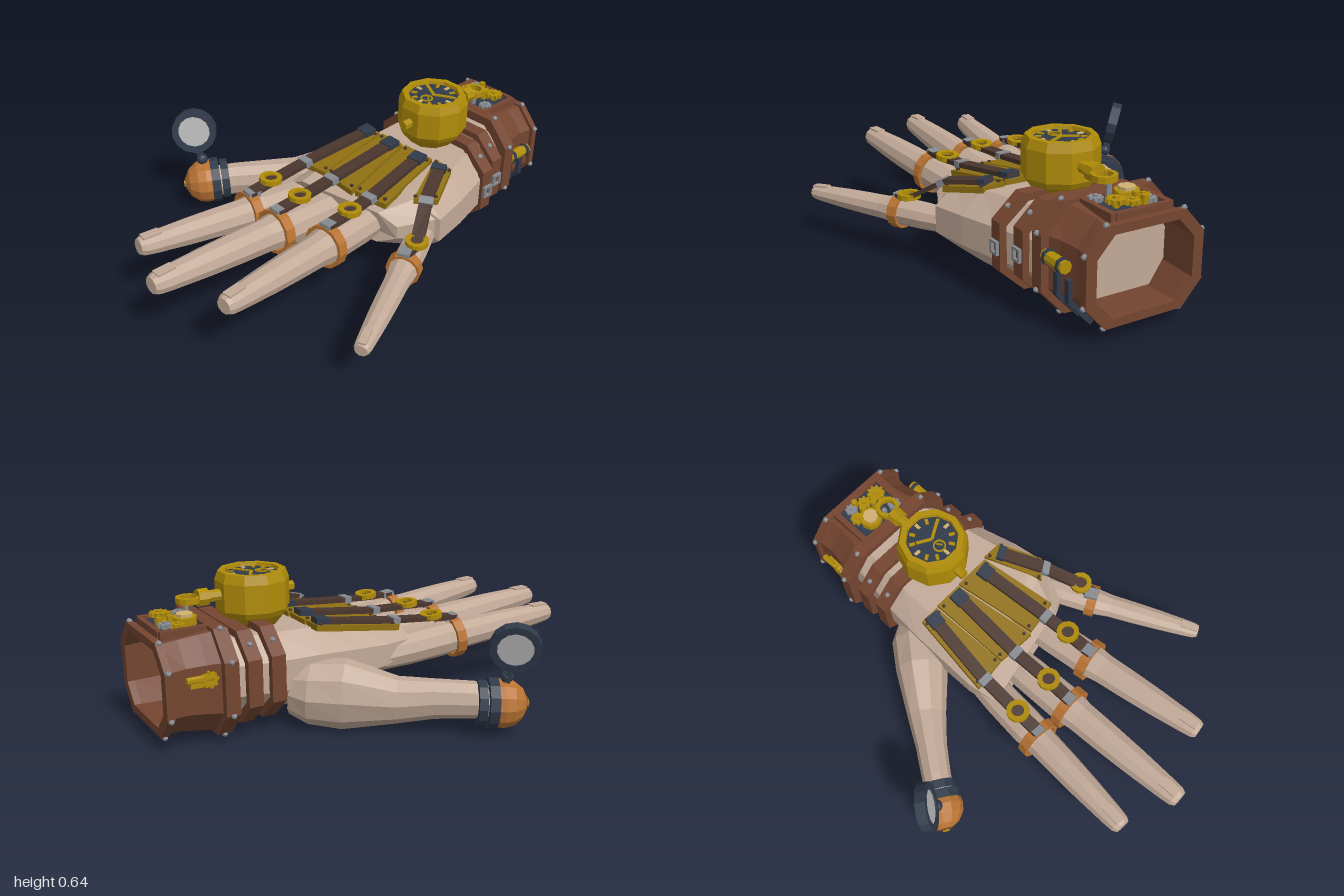
import * as THREE from 'three';

const mat = (name, color) => new THREE.MeshStandardMaterial({ name, color, flatShading: true });
const V = (x, y, z) => new THREE.Vector3(x, y, z);

// Skin of quads over matching cross-sections; closed = joined end to start, otherwise capped.
function loft(sections, closed = false) {
  const pos = [], n = sections[0].length, m = sections.length;
  const tri = (...p) => p.forEach(v => pos.push(v.x, v.y, v.z));
  for (let i = 0; i < (closed ? m : m - 1); i++) for (let j = 0; j < n; j++) {
    const A = sections[i], B = sections[(i + 1) % m], k = (j + 1) % n;
    tri(A[j], A[k], B[k]);
    tri(A[j], B[k], B[j]);
  }
  if (!closed) for (let j = 1; j < n - 1; j++) {
    tri(sections[0][0], sections[0][j + 1], sections[0][j]);
    tri(sections[m - 1][0], sections[m - 1][j], sections[m - 1][j + 1]);
  }
  const g = new THREE.BufferGeometry();
  g.setAttribute('position', new THREE.Float32BufferAttribute(pos, 3));
  g.computeVertexNormals();
  return g;
}
// Limb along a path; each stop is [centre, half width, half height].
function limb(stops, sides = 10, turn = 0) {
  return loft(stops.map(([c, rx, ry], i) => {
    const a = stops[Math.max(0, i - 1)][0], b = stops[Math.min(stops.length - 1, i + 1)][0];
    const t = b.clone().sub(a).normalize(), r = V(0, 1, 0).cross(t).normalize(), u = t.clone().cross(r);
    return Array.from({ length: sides }, (_, j) => {
      const q = turn + j / sides * Math.PI * 2;
      return c.clone().addScaledVector(r, Math.cos(q) * rx).addScaledVector(u, Math.sin(q) * ry);
    });
  }));
}
const ribbon = (pts, w, h) => limb(pts.map(p => [p, w * 0.707, h * 0.707]), 4, Math.PI / 4);
// Chamfered rectangle in the xy plane.
function octagon(cx, cy, hw, hh, z, kx = 0.66, ky = 0.5) {
  return [[1, -ky], [1, ky], [kx, 1], [-kx, 1], [-1, ky], [-1, -ky], [-kx, -1], [kx, -1]]
    .map(([x, y]) => V(cx + x * hw, cy + y * hh, z));
}
const lathe = (pts, seg) => new THREE.LatheGeometry(pts.map(p => new THREE.Vector2(...p)), seg);
const ringGeo = (ri, ro, len, seg = 12) =>
  lathe([[ri, -len / 2], [ro, -len / 2], [ro, len / 2], [ri, len / 2], [ri, -len / 2]], seg);
function gearGeo(r, teeth, h) {
  const s = new THREE.Shape();
  for (let i = 0; i < teeth * 4; i++) {
    const a = i / teeth / 2 * Math.PI, q = i % 4 < 2 ? r : r * 0.78;
    s[i ? 'lineTo' : 'moveTo'](Math.cos(a) * q, Math.sin(a) * q);
  }
  s.holes.push(new THREE.Path().absarc(0, 0, r * 0.3, 0, Math.PI * 2, true));
  return new THREE.ExtrudeGeometry(s, { depth: h, bevelEnabled: false, curveSegments: 4 }).rotateX(-Math.PI / 2);
}

export function createModel() {
  const model = new THREE.Group();
  const skin = mat('skin', 0xc2a997), leather = mat('brown leather', 0x744530), strapBrown = mat('dark strap', 0x4a362e);
  const gold = mat('gold', 0xb08c08), darkGold = mat('dark gold', 0x8f7012), copper = mat('copper', 0xb87333);
  const navy = mat('dark steel', 0x303a4a), steel = mat('steel', 0x868b90), glass = mat('glass', 0xb8b8b8), ivory = mat('pale brass', 0xd0b070);

  const add = (name, geo, m, p = [0, 0, 0], rot = [0, 0, 0], parent = model) => {
    const o = new THREE.Mesh(geo, m);
    o.name = name;
    o.position.set(...p);
    o.rotation.set(...rot);
    parent.add(o);
    return o;
  };
  const box = (name, s, m, p, rot, parent) => add(name, new THREE.BoxGeometry(...s), m, p, rot, parent);
  const cyl = (name, r, h, seg, m, p, rot, parent) => add(name, new THREE.CylinderGeometry(r, r, h, seg), m, p, rot, parent);
  const aimed = (name, p, dir) => {
    const g = new THREE.Group();
    g.name = name;
    g.position.copy(p);
    g.lookAt(p.clone().add(dir));
    model.add(g);
    return g;
  };
  const H = Math.PI / 2;

  // Forearm and palm, with the knuckle end slanting back toward the little finger
  const palm = [[-0.83, -0.14, 0.29, 0.1, 0.42], [-0.7, -0.14, 0.35, 0.095, 0.415], [-0.5, -0.17, 0.41, 0.09, 0.415],
    [-0.32, -0.18, 0.46, 0.1, 0.41], [-0.15, -0.18, 0.49, 0.11, 0.395], [0, -0.18, 0.47, 0.14, 0.375], [0.13, -0.16, 0.4, 0.2, 0.35]]
    .map(([z, x0, x1, y0, y1]) => octagon((x0 + x1) / 2, (y0 + y1) / 2, (x1 - x0) / 2, (y1 - y0) / 2, z, 0.7, 0.4));
  palm.slice(-2).forEach(s => s.forEach(p => { p.z -= Math.max(0, p.x - 0.12) * 0.4; }));
  add('palm', loft(palm), skin);

  // Thumb
  add('thumb', limb([[V(-0.1, 0.165, -0.42), 0.09, 0.11], [V(-0.15, 0.155, -0.36), 0.125, 0.14], [V(-0.24, 0.15, -0.25), 0.12, 0.152],
    [V(-0.38, 0.135, -0.08), 0.088, 0.1], [V(-0.47, 0.145, 0.04), 0.07, 0.085], [V(-0.55, 0.145, 0.15), 0.065, 0.08],
    [V(-0.62, 0.14, 0.26), 0.065, 0.075]]), skin);

  // Armour plates on the back of the hand
  const plateY = (x, z) => 0.386 - 0.12 * z - Math.max(0, x - 0.3) * 0.12;
  [[-0.14, -0.05, -0.32, -0.18, -0.025, 0.06, 0.045], [-0.04, 0.09, -0.325, -0.02, 0.16, 0.045, 0.055],
    [0.1, 0.265, -0.33, 0.17, 0.33, 0.045, 0.02], [0.275, 0.37, -0.34, 0.385, 0.46, -0.09, -0.16]]
    .forEach(([a, b, zb, c, d, zc, zd]) => {
      const q = [[c, zc], [d, zd], [b, zb], [a, zb]];
      const layer = o => q.map(([x, z]) => V(x, plateY(x, z) + o, z));
      add('handPlate', loft([layer(-0.02), layer(0.006)]), darkGold);
      q.forEach(([x, z], i) => {
        const mx = (q[0][0] + q[1][0] + q[2][0] + q[3][0]) / 4, mz = (q[0][1] + q[2][1]) / 2;
        const rx = x + (mx - x) * 0.2, rz = z + (mz - z) * 0.12;
        cyl('plateRivet', 0.008, 0.01, 6, strapBrown, [rx, plateY(rx, rz) + 0.008, rz]);
      });
    });

  // Fingers with straps, loops and rings: base, tip, ring fraction, width, strap start and end (x, z), loop
  const fingers = [
    { name: 'index', a: V(-0.105, 0.235, 0), b: V(-0.19, 0.32, 0.9), f: 0.42, r: 0.083, s: [-0.095, -0.135, 0.04], loop: V(-0.14, 0.376, 0.255) },
    { name: 'middle', a: V(0.05, 0.25, 0), b: V(0.06, 0.33, 1), f: 0.385, r: 0.088, s: [0.053, 0.045, 0.05], loop: V(0.054, 0.385, 0.255) },
    { name: 'third', a: V(0.24, 0.265, -0.02), b: V(0.345, 0.335, 0.87), f: 0.365, r: 0.084, s: [0.217, 0.26, 0.03], loop: V(0.272, 0.387, 0.17) },
    { name: 'little', a: V(0.42, 0.22, -0.12), b: V(0.755, 0.203, 0.56), f: 0.33, r: 0.064, s: [0.33, 0.425, -0.13], loop: V(0.525, 0.295, 0.03) }];
  for (const { name, a, b, f, r, s, loop } of fingers) {
    const at = t => a.clone().lerp(b, t), dir = b.clone().sub(a).normalize();
    add(name + 'Finger', limb([[0, 0.85], [0.15, 0.95], [0.36, 0.97], [0.45, 0.84], [0.6, 0.8], [0.75, 0.73], [0.93, 0.6], [0.98, 0.54], [1, 0.42]]
      .map(([t, k]) => [at(t), r * k, r * k * 0.95])), skin);
    const tip = aimed(name + 'Nail', at(0.94), dir);
    box('nail', [r * 0.5, 0.008, 0.08], skin, [0, r * 0.54, 0], [0.07, 0, 0], tip);

    const band = aimed(name + 'RingGroup', at(f), dir);
    add('fingerRing', ringGeo(r * 0.97, r * 1.15, 0.045), copper, [0, 0, 0], [H, 0, 0], band);
    box('ringClasp', [0.05, 0.025, 0.06], steel, [0, r * 1.13, -0.01], [0, 0, 0], band);

    const top = (x, z) => V(x, plateY(x, z) + 0.016, z);
    const end = at(f).add(V(0, r * 1.12, 0));
    add(name + 'Strap', ribbon([top(s[0], -0.31), top((s[0] + s[1]) / 2, (s[2] - 0.31) / 2), top(s[1], s[2]), loop, end], 0.055, 0.02), strapBrown);
    const cap = top(s[0], -0.31), low = top(s[1], s[2]);
    add('strapCap', ribbon([cap, cap.clone().lerp(low, 0.17)], 0.064, 0.03), navy);
    const mid = aimed('strapClasp', low, loop.clone().sub(low));
    box('clasp', [0.06, 0.03, 0.035], steel, [0, 0, 0.02], [0, 0, 0], mid);
    const hoop = aimed('strapLoop', loop.clone().add(V(0, 0.012, 0)), dir);
    add('loop', ringGeo(0.028, 0.05, 0.022), gold, [0, 0, 0], [0, 0, 0], hoop);
  }

  // Thimble on the thumb tip
  const thimble = aimed('thimble', V(-0.595, 0.14, 0.185), V(-0.5, -0.03, 0.86));
  add('collar', ringGeo(0.065, 0.095, 0.035), navy, [0, 0, 0], [H, 0, 0], thimble);
  add('collarRim', ringGeo(0.07, 0.106, 0.04), navy, [0, 0, 0.045], [H, 0, 0], thimble);
  add('dome', lathe([[0, 0.05], [0.098, 0.05], [0.104, 0.09], [0.095, 0.13], [0.065, 0.168], [0.03, 0.185], [0, 0.187]], 12),
    copper, [0, 0, 0], [H, 0, 0], thimble);
  cyl('studSeat', 0.028, 0.01, 8, leather, [0, 0, 0.185], [H, 0, 0], thimble);
  cyl('domeStud', 0.017, 0.018, 6, gold, [0, 0, 0.187], [H, 0, 0], thimble);

  // Magnifying lens on its hinge
  const lens = aimed('lens', V(-0.7, 0.39, 0.265), V(0.75, 0.22, 0.64));
  add('lensFrame', ringGeo(0.074, 0.104, 0.045, 14), navy, [0, 0, 0], [H, 0, 0], lens);
  cyl('lensGlass', 0.078, 0.03, 14, glass, [0, 0, 0], [H, 0, 0], lens);
  box('lensStem', [0.025, 0.07, 0.03], navy, [-0.667, 0.27, 0.265], [0, 0.8, 0.2]);
  add('lensHinge', new THREE.IcosahedronGeometry(0.027, 1), navy, [-0.655, 0.255, 0.265]);

  // Flared leather cuff and the two wrist straps
  const shell = (cx, cy, profile) => loft(profile.map(([z, hw, hh]) => octagon(cx, cy, hw, hh, z)), true);
  add('cuff', shell(0.075, 0.262, [[-0.98, 0.245, 0.185], [-0.9, 0.235, 0.19], [-0.82, 0.25, 0.2], [-0.72, 0.285, 0.215],
    [-0.72, 0.24, 0.175], [-0.98, 0.215, 0.16]]), leather);
  const rims = [[-0.995, -0.965, 0.26, 0.195], [-0.77, -0.71, 0.3, 0.222]];
  for (const [z0, z1, hw, hh] of rims) {
    add('cuffRim', shell(0.075, 0.262, [[z0, hw, hh], [z1, hw, hh], [z1, hw - 0.045, hh - 0.035], [z0, hw - 0.045, hh - 0.035]]), leather);
    octagon(0.075, 0.262, hw, hh, (z0 + z1) / 2).forEach(p => add('rimBolt', new THREE.IcosahedronGeometry(0.013, 0), steel, p.toArray()));
  }
  for (const [z, cx, hw] of [[-0.635, 0.09, 0.3], [-0.53, 0.11, 0.315]]) {
    add('wristStrap', shell(cx, 0.26, [[z - 0.031, hw, 0.195], [z + 0.031, hw, 0.195], [z + 0.031, hw - 0.03, 0.165], [z - 0.031, hw - 0.03, 0.165]]), leather);
    for (const [y, h, d, w] of [[0.278, 0.01, 0, 0.05], [0.232, 0.01, 0, 0.05], [0.255, 0.05, 0.02, 0.012], [0.255, 0.05, -0.02, 0.012]])
      box('strapBuckle', [0.02, h, w], steel, [cx + hw + 0.003, y, z + d]);
    for (const e of [-1, 1]) add('strapStud', new THREE.IcosahedronGeometry(0.013, 0), steel, [cx + e * hw * 0.83, 0.41, z]);
  }

  // Gearbox window in the top of the cuff
  box('gearBed', [0.23, 0.05, 0.2], navy, [0.075, 0.448, -0.85]);
  for (const e of [-1, 1]) {
    box('gearFrameSide', [0.025, 0.06, 0.22], leather, [0.075 + e * 0.125, 0.455, -0.85]);
    box('gearFrameEnd', [0.23, 0.06, 0.02], leather, [0.075, 0.455, -0.85 + e * 0.105]);
  }
  [[0.14, 0.04, 10, -0.89, gold, 0.492], [0.01, 0.028, 8, -0.915, steel, 0.48], [0.075, 0.032, 8, -0.9, gold, 0.478],
    [0.165, 0.03, 8, -0.8, steel, 0.475], [0, 0.032, 8, -0.865, gold, 0.475]]
    .forEach(([x, r, n, z, m, y]) => {
      add('gear', gearGeo(r, n, 0.018), m, [x, y, z]);
      cyl('gearAxle', r * 0.32, 0.06, 6, m, [x, y - 0.005, z]);
    });
  for (const [x, z] of [[0.045, -0.88], [0.1, -0.865], [0.04, -0.925]]) cyl('gearPost', 0.014, 0.07, 8, gold, [x, 0.48, z]);
  cyl('gearDrum', 0.05, 0.04, 8, gold, [0.04, 0.485, -0.82]);
  cyl('gearDrumCap', 0.034, 0.02, 8, ivory, [0.04, 0.508, -0.82]);
  cyl('gearPin', 0.012, 0.1, 6, steel, [0.1, 0.48, -0.79]);

  // Vial and bands on the left of the cuff, winding key on the right
  cyl('vial', 0.026, 0.13, 8, gold, [0.355, 0.295, -0.835], [H, 0, 0]);
  for (const z of [-0.88, -0.79]) cyl('vialClamp', 0.031, 0.015, 8, navy, [0.355, 0.295, z], [H, 0, 0]);
  const bandShape = new THREE.Shape([[0.325, 0.24], [0.325, 0.16], [0.23, 0.06], [0.245, 0.045], [0.342, 0.15], [0.342, 0.24]]
    .map(p => new THREE.Vector2(...p)));
  for (const z of [-0.9, -0.825])
    add('cuffBand', new THREE.ExtrudeGeometry(bandShape, { depth: 0.025, bevelEnabled: false }), navy, [0, 0, z]);
  box('keyPlate', [0.025, 0.03, 0.1], gold, [-0.185, 0.3, -0.85]);
  add('keyGear', gearGeo(0.035, 8, 0.02), gold, [-0.185, 0.31, -0.82], [0, 0, H]);
  cyl('keyShaft', 0.014, 0.11, 6, gold, [-0.195, 0.32, -0.86], [H, 0, 0]);

  // Pocket watch
  const watch = new THREE.Group();
  watch.name = 'watch';
  watch.position.set(0.11, 0, -0.49);
  model.add(watch);
  add('watchCase', lathe([[0, 0.41], [0.1, 0.41], [0.142, 0.46], [0.156, 0.485], [0.156, 0.605], [0.142, 0.643], [0.116, 0.643],
    [0.112, 0.622], [0, 0.622]], 10), gold, [0, 0, 0], [0, Math.PI / 10, 0], watch);
  cyl('watchFace', 0.111, 0.008, 20, navy, [0, 0.624, 0], [0, 0, 0], watch);
  for (let i = 0; i < 12; i++) {
    const a = i / 12 * Math.PI * 2;
    box('hourMark', [0.014, 0.006, 0.026], i % 3 ? gold : ivory, [Math.sin(a) * 0.088, 0.63, Math.cos(a) * 0.088], [0, a, 0], watch);
  }
  for (const [a, l] of [[2.1, 0.08], [-2.1, 0.07]])
    box('watchHand', [0.013, 0.006, l], gold, [Math.sin(a) * l / 2, 0.632, Math.cos(a) * l / 2], [0, a, 0], watch);
  add('subDial', ringGeo(0.022, 0.029, 0.006), gold, [0, 0.63, 0.045], [0, 0, 0], watch);
  box('subDialHand', [0.006, 0.006, 0.025], gold, [0.005, 0.63, 0.04], [0, 0.6, 0], watch);
  cyl('caseKnob', 0.022, 0.05, 6, gold, [0, 0.545, 0.165], [H, 0, 0], watch);
  cyl('watchStem', 0.026, 0.1, 8, gold, [0, 0.55, -0.18], [H, 0, 0], watch);
  cyl('watchCrown', 0.038, 0.045, 8, gold, [0, 0.55, -0.225], [H, 0, 0], watch);
  add('watchBow', ringGeo(0.034, 0.052, 0.025), gold, [0, 0.55, -0.285], [0, 0, 0], watch);
  return model;
}
